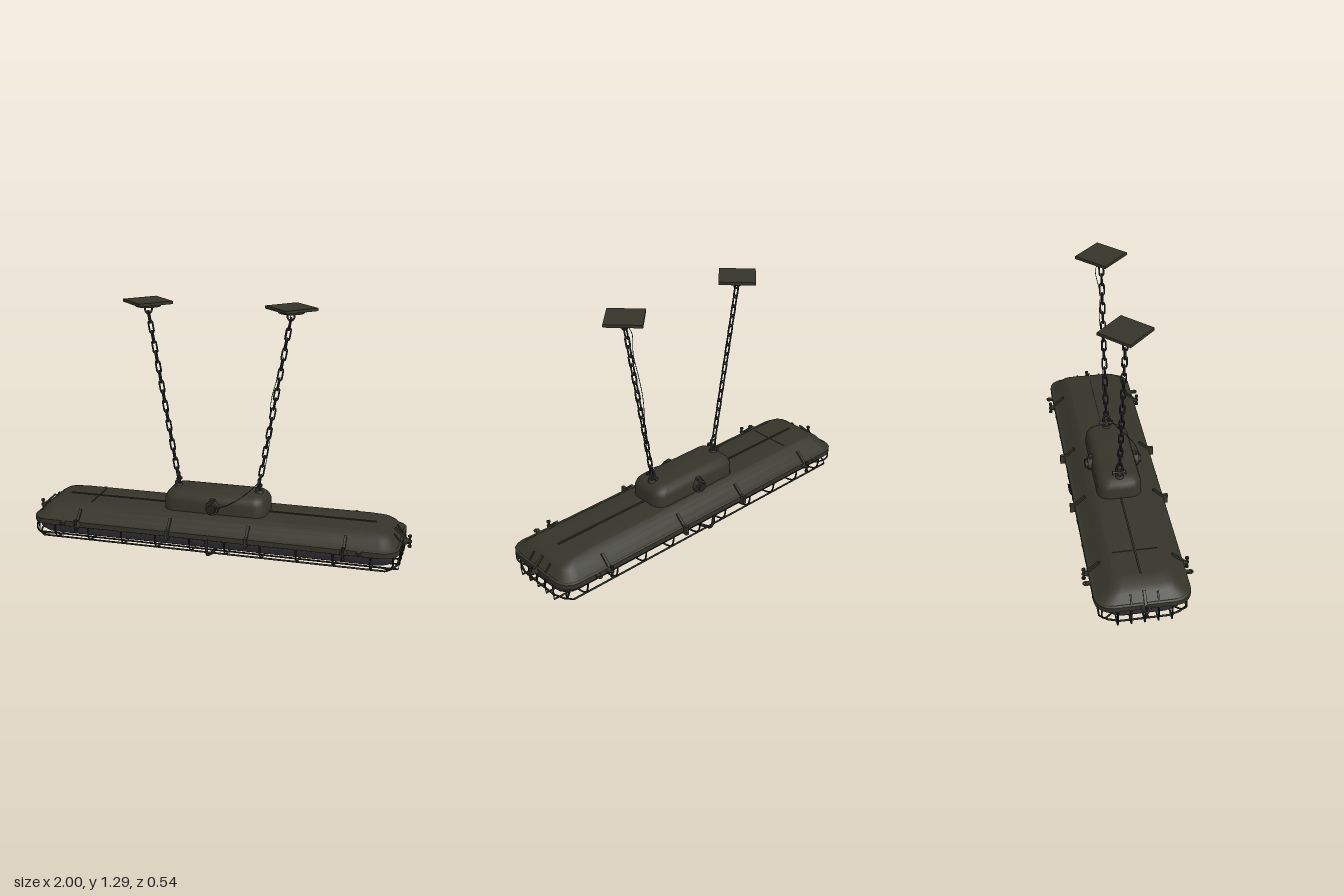
import * as THREE from 'three';
import { toCreasedNormals } from 'three/addons/utils/BufferGeometryUtils.js';

const mat = (name, color) => new THREE.MeshStandardMaterial({ name, color });
const V = (x, y, z) => new THREE.Vector3(x, y, z);

export function createModel() {
  const root = new THREE.Group();
  root.name = 'hangingLamp';
  const paint = mat('olivePaint', 0x34342a);
  const glass = mat('smokedDiffuser', 0x3a3a42);
  const steel = mat('chainSteel', 0x2f2f34);
  const wireMat = mat('darkWire', 0x24241f);

  const add = (name, geo, material, pos = [0, 0, 0], rot = [0, 0, 0], parent = root) => {
    const m = new THREE.Mesh(geo, material);
    m.name = name;
    m.position.set(...pos);
    m.rotation.set(...rot);
    parent.add(m);
    return m;
  };

  // Points of a rounded rectangle in the xz plane
  const roundRect = (hx, hz, r, n = 4) => {
    const pts = [];
    [[1, 1], [-1, 1], [-1, -1], [1, -1]].forEach(([sx, sz], q) => {
      for (let i = 0; i <= n; i++) {
        const a = (q + i / n) * Math.PI / 2;
        pts.push([sx * (hx - r) + r * Math.cos(a), sz * (hz - r) + r * Math.sin(a)]);
      }
    });
    return pts;
  };

  // Closed loft through rounded rectangles [y, halfX, halfZ, radius], bottom to top
  const loft = (rings, crease = 0.5) => {
    const pos = [], idx = [];
    let n = 0;
    for (const [y, hx, hz, r] of rings) {
      const pts = roundRect(hx, hz, r);
      n = pts.length;
      pts.forEach(([x, z]) => pos.push(x, y, z));
    }
    const last = rings.length - 1, lo = rings.length * n, hi = lo + 1;
    pos.push(0, rings[0][0], 0, 0, rings[last][0], 0);
    for (let j = 0; j < n; j++) {
      const k = (j + 1) % n;
      for (let i = 0; i < last; i++) {
        const a = i * n + j, b = i * n + k;
        idx.push(a, a + n, b, b, a + n, b + n);
      }
      idx.push(lo, j, k, hi, last * n + k, last * n + j);
    }
    const g = new THREE.BufferGeometry();
    g.setAttribute('position', new THREE.Float32BufferAttribute(pos, 3));
    g.setIndex(idx);
    return toCreasedNormals(g, crease);
  };

  const tube = (pts, r, { closed = false, seg = 32, sides = 6, tension = 0.25 } = {}) =>
    new THREE.TubeGeometry(new THREE.CatmullRomCurve3(pts, closed, 'catmullrom', tension), seg, r, sides, closed);

  // Housing, flange and diffuser
  add('housing', loft([[0.15, 0.95, 0.225, 0.08], [0.165, 0.93, 0.2, 0.07], [0.19, 0.915, 0.172, 0.06],
    [0.21, 0.885, 0.148, 0.05], [0.22, 0.82, 0.13, 0.04]]), paint);
  add('flange', loft([[0.118, 0.95, 0.225, 0.08], [0.122, 0.958, 0.233, 0.085],
    [0.148, 0.958, 0.233, 0.085], [0.153, 0.95, 0.225, 0.08]]), paint);
  add('diffuser', loft([[0.037, 0.87, 0.09, 0.06], [0.045, 0.905, 0.14, 0.07], [0.062, 0.925, 0.178, 0.08],
    [0.09, 0.94, 0.203, 0.08], [0.12, 0.945, 0.212, 0.08]], 0.7), glass);
  add('roofRib', new THREE.BoxGeometry(1.64, 0.008, 0.008), paint, [0, 0.221, 0]);
  add('roofSeam', new THREE.BoxGeometry(0.005, 0.004, 0.22), paint, [-0.66, 0.221, 0]);

  // Junction box on the roof
  add('junctionBox', loft([[0.2, 0.27, 0.116, 0.06], [0.275, 0.268, 0.114, 0.06], [0.3, 0.258, 0.104, 0.055],
    [0.316, 0.24, 0.088, 0.045], [0.322, 0.215, 0.068, 0.035]], 0.6), paint);
  for (const s of [1, -1]) {
    add('cableGlandBase', new THREE.CylinderGeometry(0.034, 0.038, 0.03, 12), paint, [0, 0.255, s * 0.12], [s * Math.PI / 2, 0, 0]);
    add('cableGlandNut', new THREE.CylinderGeometry(0.024, 0.024, 0.022, 6), wireMat, [0, 0.255, s * 0.138], [Math.PI / 2, 0, 0]);
    add('glandLug', new THREE.BoxGeometry(0.025, 0.03, 0.02), paint, [0, 0.286, s * 0.116]);
  }

  // Wire guard
  const cage = new THREE.Group();
  cage.name = 'wireGuard';
  root.add(cage);
  const guard = (name, pts, r = 0.0045, o = {}) => add(name, tube(pts, r, o), wireMat, [0, 0, 0], [0, 0, 0], cage);
  const mirrored = half => [...half.map(([u, y]) => [-u, y]), ...half.slice().reverse().map(([u, y]) => [u, y])];
  const crossHalf = [[0.228, 0.125], [0.226, 0.08], [0.205, 0.048], [0.14, 0.035]];
  for (let i = 0; i < 10; i++) {
    const x = (i - 4.5) * 0.183;
    guard('crossWire', mirrored(crossHalf).map(([z, y]) => V(x, y, z)), 0.0045, { seg: 20 });
  }
  const lengthHalf = [[0.955, 0.125], [0.957, 0.075], [0.94, 0.045], [0.9, 0.033]];
  for (const z of [-0.13, -0.065, 0, 0.065, 0.13])
    guard('lengthWire', mirrored(lengthHalf).map(([x, y]) => V(x, y, z)), 0.0045, { seg: 44 });
  guard('edgeWire', roundRect(0.945, 0.21, 0.09).map(([x, z]) => V(x, 0.05, z)), 0.005, { closed: true, seg: 80 });
  for (const sx of [1, -1]) for (const sz of [1, -1])
    guard('cornerWire', [V(sx * 0.93, 0.125, sz * 0.2), V(sx * 0.933, 0.08, sz * 0.203),
      V(sx * 0.915, 0.048, sz * 0.182), V(sx * 0.86, 0.035, sz * 0.13)], 0.0045, { seg: 12 });
  guard('centreHoop', mirrored([[0.235, 0.13], [0.228, 0.07], [0.205, 0.035], [0.13, 0.014], [0.05, 0.0085]])
    .map(([z, y]) => V(0, y, z)), 0.0085, { seg: 36, sides: 8 });

  // Clamps around the flange; local +z points outward
  const clamp = (x, z, turn, kind) => {
    const g = new THREE.Group();
    g.name = 'clamp';
    g.position.set(x, 0, z);
    g.rotation.y = turn;
    root.add(g);
    const part = (name, geo, m, p, r) => add(name, geo, m, p, r, g);
    if (kind === 'eye') {
      part('eyeTab', new THREE.BoxGeometry(0.02, 0.012, 0.04), paint, [0, 0.143, 0.005]);
      part('eyeRing', new THREE.TorusGeometry(0.011, 0.005, 6, 12), paint, [0, 0.143, 0.022], [Math.PI / 2, 0, 0]);
      return;
    }
    const big = kind === 'bolt';
    if (big) {
      part('clampWedge', new THREE.CylinderGeometry(0.007, 0.026, 0.04, 4), paint, [0, 0.135, 0.012], [Math.PI / 2, 0, 0]);
      part('clampBolt', new THREE.CylinderGeometry(0.006, 0.006, 0.066, 8), wireMat, [0, 0.135, 0.022]);
      for (const y of [0.108, 0.162])
        part('clampNut', new THREE.CylinderGeometry(0.01, 0.01, 0.01, 6), wireMat, [0, y, 0.022]);
    } else {
      part('clampBlock', new THREE.BoxGeometry(0.016, 0.05, 0.03), paint, [0, 0.135, 0.01]);
    }
    part('clampArm', new THREE.BoxGeometry(0.014, 0.01, 0.075), paint, [0, 0.175, -0.025], [0.75, 0, 0]);
  };
  for (const s of [1, -1]) {
    const turn = s > 0 ? 0 : Math.PI;
    for (const m of [1, -1]) {
      clamp(m * 0.77, s * 0.232, turn, 'eye');
      clamp(m * 0.695, s * 0.232, turn, 'bolt');
      clamp(m * 0.205, s * 0.232, turn, 'small');
    }
    clamp(s * 0.968, 0, s * Math.PI / 2, 'bolt');
    for (const z of [-0.065, 0.065])
      add('endStrap', new THREE.BoxGeometry(0.05, 0.006, 0.008), paint, [s * 0.935, 0.172, z], [0, 0, -s * 0.9]);
  }

  // Chain link outline in its own xy plane
  const link = tube([[-0.011, -0.024], [-0.006, -0.031], [0.006, -0.031], [0.011, -0.024], [0.011, 0.024],
    [0.006, 0.031], [-0.006, 0.031], [-0.011, 0.024]].map(([x, y]) => V(x, y, 0)), 0.0045,
  { closed: true, seg: 24, tension: 0.1 });

  // Two suspensions: ceiling plate, chain and roof anchor
  for (const s of [1, -1]) {
    const g = new THREE.Group();
    g.name = s > 0 ? 'leftSuspension' : 'rightSuspension';
    root.add(g);
    const part = (name, geo, m, p, r) => add(name, geo, m, p, r, g);
    part('ceilingPlate', new THREE.BoxGeometry(0.186, 0.015, 0.186), paint, [s * 0.367, 1.278, 0], [0, Math.PI / 4, 0]);
    part('plateBoss', new THREE.CylinderGeometry(0.07, 0.064, 0.016, 20), paint, [s * 0.367, 1.263, 0]);
    part('plateShackle', tube([V(-0.018, 0.03, 0), V(-0.018, 0, 0), V(-0.01, -0.018, 0), V(0.01, -0.018, 0),
      V(0.018, 0, 0), V(0.018, 0.03, 0)], 0.005, { seg: 16 }), steel, [s * 0.365, 1.237, 0]);
    const top = V(s * 0.361, 1.2, 0), bottom = V(s * 0.22, 0.385, 0), count = 17;
    const tilt = Math.atan2(-(top.x - bottom.x), top.y - bottom.y);
    for (let i = 0; i < count; i++) {
      const p = top.clone().lerp(bottom, i / (count - 1));
      const m = part('chainLink', link, steel, p.toArray());
      m.rotation.order = 'ZYX';
      m.rotation.set(0, i % 2 ? 0 : Math.PI / 2, tilt);
    }
    part('anchorBase', new THREE.CylinderGeometry(0.018, 0.024, 0.016, 10), paint, [s * 0.215, 0.325, 0]);
    part('anchorPost', new THREE.BoxGeometry(0.02, 0.035, 0.022), paint, [s * 0.215, 0.342, 0]);
    part('anchorPin', new THREE.CylinderGeometry(0.007, 0.007, 0.066, 8), steel, [s * 0.215, 0.347, 0], [Math.PI / 2, 0, 0]);
    for (const z of [-0.033, 0.033])
      part('anchorPinHead', new THREE.CylinderGeometry(0.011, 0.011, 0.008, 6), steel, [s * 0.215, 0.347, z], [Math.PI / 2, 0, 0]);
    part('anchorShackle', tube([V(0, 0, -0.018), V(0, 0.028, -0.017), V(0, 0.044, -0.008), V(0, 0.044, 0.008),
      V(0, 0.028, 0.017), V(0, 0, 0.018)], 0.005, { seg: 16 }), steel, [s * 0.215, 0.347, 0]);
  }

  // Thin supply cable running down the left chain to the front gland
  add('supplyCable', tube([V(0.365, 1.25, -0.005), V(0.35, 1.2, -0.032), V(0.33, 1.08, -0.012), V(0.305, 0.95, -0.02),
    V(0.27, 0.8, -0.008), V(0.265, 0.6, -0.012), V(0.235, 0.42, 0), V(0.19, 0.35, 0.04),
    V(0.1, 0.29, 0.125), V(0, 0.255, 0.15)], 0.0018, { seg: 60, sides: 5, tension: 0.5 }), wireMat);

  return root;
}
